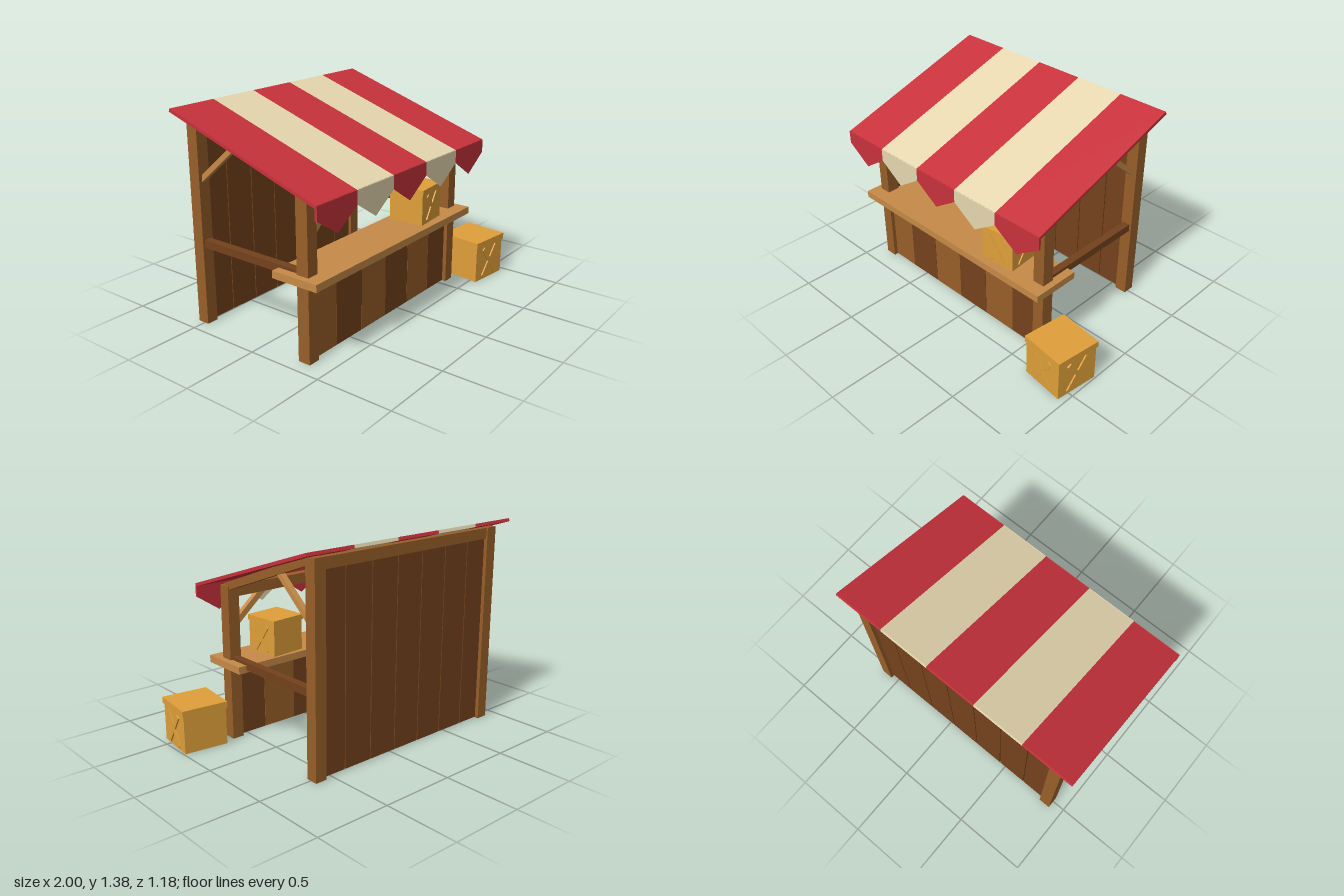
import * as THREE from 'three';

const mat = (name, color, extra = {}) => {
  const m = new THREE.MeshStandardMaterial({ color, ...extra });
  m.name = name;
  return m;
};

export function createModel() {
  const wood = mat('wood', 0x985f29);
  const darkWood = mat('darkWood', 0x74421c);
  const lightWood = mat('lightWood', 0xc68a47);
  const crateWood = mat('crateWood', 0xe0a03a);
  const red = mat('redCloth', 0xc8323b, { side: THREE.DoubleSide });
  const cream = mat('creamCloth', 0xe7d8b0, { side: THREE.DoubleSide });

  const model = new THREE.Group();
  model.name = 'marketStall';
  const stall = new THREE.Group();
  stall.name = 'stall';

  const box = (parent, name, material, [w, h, d], [x, y, z]) => {
    const mesh = new THREE.Mesh(new THREE.BoxGeometry(w, h, d), material);
    mesh.name = name;
    mesh.position.set(x, y, z);
    parent.add(mesh);
    return mesh;
  };
  // Bar running between two points, its width kept level
  const bar = (name, material, a, b, width, thick) => {
    const p = new THREE.Vector3(...a), q = new THREE.Vector3(...b);
    const mesh = box(stall, name, material, [width, thick, p.distanceTo(q)], [0, 0, 0]);
    mesh.position.copy(p).lerp(q, 0.5);
    mesh.lookAt(q);
  };

  const frontZ = 0.328, backZ = -0.51, postX = 0.73;

  // Frame, mirrored left and right
  for (const s of [-1, 1]) {
    const x = s * postX;
    box(stall, 'frontPost', wood, [0.08, 1.02, 0.083], [x, 0.51, frontZ]);
    box(stall, 'backPost', wood, [0.08, 1.33, 0.08], [x, 0.665, backZ]);
    bar('rafter', wood, [x, 1.012, 0.327], [x, 1.318, backZ], 0.06, 0.05);
    box(stall, 'sideRail', darkWood, [0.05, 0.05, 0.8], [x, 0.535, -0.09]);
    bar('sideBrace', lightWood, [x, 0.93, -0.492], [x, 1.19, -0.19], 0.035, 0.033);
    bar('frontBrace', lightWood, [x, 0.74, frontZ], [s * 0.465, 0.97, frontZ], 0.035, 0.04);
  }
  box(stall, 'frontBeam', wood, [1.4, 0.07, 0.06], [0, 0.98, frontZ]);
  box(stall, 'backBeam', wood, [1.4, 0.07, 0.06], [0, 1.292, backZ]);

  // Front boards in alternating tones
  for (let i = 0; i < 6; i++) {
    box(stall, 'frontBoard', i % 2 ? darkWood : wood, [0.243, 0.5, 0.03], [(i - 2.5) * 0.2455, 0.253, frontZ]);
  }
  // Back wall boards with narrow gaps
  for (let i = 0; i < 7; i++) {
    box(stall, 'backBoard', darkWood, [0.203, 1.255, 0.03], [(i - 3) * 0.209, 0.632, backZ]);
  }
  box(stall, 'counter', lightWood, [1.62, 0.047, 0.325], [0, 0.517, 0.299]);

  // Striped awning with a pointed valance
  const stripe = 0.344;
  for (let i = 0; i < 5; i++) {
    const cloth = i % 2 ? cream : red;
    const x = (i - 2) * stripe;
    bar('roofStripe', cloth, [x, 1.007, 0.509], [x, 1.368, -0.588], stripe, 0.02);
    box(stall, 'valanceBand', cloth, [stripe, 0.085, 0.015], [x, 0.9725, 0.509]);
    const tip = new THREE.Shape([[-stripe / 2, 0.93], [0, 0.816], [stripe / 2, 0.93]]
      .map(([u, v]) => new THREE.Vector2(u, v)));
    const point = new THREE.Mesh(new THREE.ShapeGeometry(tip), cloth);
    point.name = 'valancePoint';
    point.position.set(x, 0, 0.5165);
    stall.add(point);
  }

  // The stall stands beside the ground crate
  stall.position.x = -0.14;
  model.add(stall);

  // Lidded crate with crossed slats on two sides
  const crate = (name, pos, turn, scale) => {
    const g = new THREE.Group();
    g.name = name;
    box(g, 'crateBody', crateWood, [0.292, 0.25, 0.292], [0, 0.125, 0]);
    box(g, 'crateLid', crateWood, [0.308, 0.042, 0.308], [0, 0.269, 0]);
    for (const side of [0, Math.PI / 2]) {
      const cross = new THREE.Group();
      cross.name = 'crateCross';
      cross.rotation.y = side;
      for (const s of [-1, 1]) {
        box(cross, 'crateSlat', crateWood, [0.03, 0.25, 0.02], [0, 0.125, 0.146]).rotation.z = s * 0.61;
      }
      g.add(cross);
    }
    g.position.set(...pos);
    g.rotation.y = turn;
    g.scale.setScalar(scale);
    model.add(g);
  };
  crate('groundCrate', [0.828, 0, 0.418], -0.12, 1);
  crate('counterCrate', [0.27, 0.54, 0.284], 0.08, 0.825);

  return model;
}
